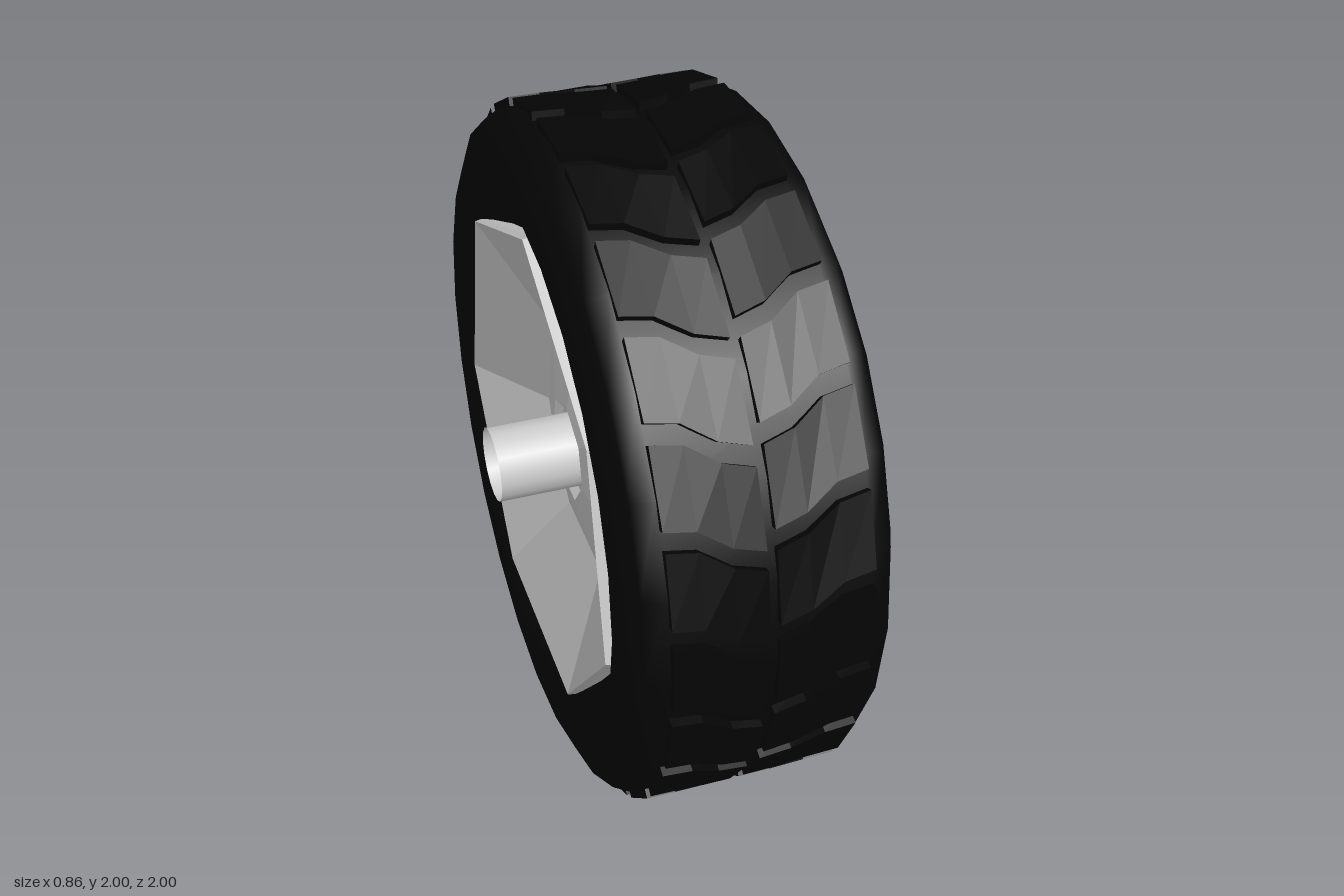
import * as THREE from 'three';
import { mergeGeometries } from 'three/addons/utils/BufferGeometryUtils.js';

const SIDES = 7;        // spokes and rim facets
const BLOCKS = 24;      // tread blocks per row
const MID = 0.035;      // axial centre of the tyre
const STEP = (Math.PI * 2) / SIDES;

const grey = new THREE.MeshStandardMaterial({ color: 0xcccccc, flatShading: true });
const tube = new THREE.MeshStandardMaterial({ color: 0xcccccc, side: THREE.DoubleSide });
const rubber = new THREE.MeshStandardMaterial({ color: 0x050505 });
const tread = new THREE.MeshStandardMaterial({ color: 0x050505, flatShading: true });

// Move every vertex of a geometry by a rule
function warp(geo, rule) {
  const p = geo.attributes.position;
  const v = new THREE.Vector3();
  for (let i = 0; i < p.count; i++) {
    rule(v.fromBufferAttribute(p, i));
    p.setXYZ(i, v.x, v.y, v.z);
  }
  geo.computeVertexNormals();
  return geo;
}

// Revolve [radius, x] points around the x axis, first corner at the top
function revolve(points, sides, rule) {
  const profile = points.map(([r, x]) => new THREE.Vector2(r, x));
  const geo = new THREE.LatheGeometry(profile, sides, -Math.PI / 2);
  if (rule) warp(geo, rule);
  return geo.rotateZ(-Math.PI / 2);
}

// Raised tread block, stepped into half a chevron and wrapped round the tyre
function treadBlock(x0, x1, angle) {
  return warp(new THREE.BoxGeometry(1, 1, 1, 3, 1, 1), (v) => {
    const x = THREE.MathUtils.lerp(x0, x1, v.x + 0.5);
    const d = Math.abs(x - MID);
    const bend = d < 0.05 ? -0.07 : d < 0.13 ? -0.045 : d < 0.2 ? 0.015 : 0.03;
    const a = angle + bend - v.z * ((Math.PI * 2) / BLOCKS) * 0.8;
    const r = v.y > 0 ? 1 : 0.95;
    v.set(x, r * Math.sin(a), r * Math.cos(a));
  });
}

// Wedge-sided spoke pointing up, with a kinked top
function spokeGeometry() {
  const shape = new THREE.Shape(
    [[0.22, 0.27], [0.3, 0.27], [0.425, 0.63], [0.39, 0.755], [0.29, 0.735]]
      .map(([x, y]) => new THREE.Vector2(x, y)));
  const geo = new THREE.ExtrudeGeometry(shape, { depth: 1, bevelEnabled: false });
  return warp(geo, (v) => {
    const half = v.x < 0.295 ? 0.095 : v.y < 0.4 ? 0.068 : 0.075;
    v.z = (v.z - 0.5) * 2 * half;
  });
}

export function createModel() {
  const wheel = new THREE.Group();
  wheel.name = 'wheel';
  const add = (name, geo, mat, parent = wheel) => {
    const mesh = new THREE.Mesh(geo, mat);
    mesh.name = name;
    parent.add(mesh);
    return mesh;
  };

  // Tyre carcass with dished sidewalls
  add('tyre', revolve([
    [0.6, -0.23], [0.7, -0.28], [0.78, -0.32], [0.86, -0.33], [0.95, -0.29], [0.982, -0.23],
    [0.982, 0.3], [0.95, 0.36], [0.86, 0.4], [0.79, 0.39], [0.72, 0.345], [0.6, 0.27],
  ], 24), rubber);

  // Two rows of tread blocks, one row staggered slightly
  const blocks = [];
  for (let i = 0; i < BLOCKS; i++) {
    const a = (i / BLOCKS) * Math.PI * 2;
    blocks.push(treadBlock(-0.23, 0.022, a), treadBlock(0.048, 0.3, a + 0.05));
  }
  add('tread', mergeGeometries(blocks), tread);

  // Seven-sided rim: back dish, chamfered rim edge, front bowl, hub cone and centre recess
  const up = new THREE.Vector3(0, 1, 0);
  add('rim', revolve([
    [0, -0.19], [0.125, -0.19], [0.15, -0.21], [0.37, -0.165], [0.72, -0.315], [0.725, -0.29],
    [0.725, 0.315], [0.685, 0.37], [0.33, 0.28],
    [0.16, 0.315], [0.13, 0.285], [0, 0.285],
  ], SIDES, (v) => {
    // Turn the centre half a facet against the hub
    if (v.y > 0 && Math.hypot(v.x, v.z) < 0.2) v.applyAxisAngle(up, STEP / 2);
  }), grey);

  // Spokes
  const spokes = new THREE.Group();
  spokes.name = 'spokes';
  wheel.add(spokes);
  const spoke = spokeGeometry();
  for (let i = 0; i < SIDES; i++) {
    add('spoke', spoke, grey, spokes).rotation.x = i * STEP;
  }

  // Hollow axle stub on the inner side
  const axle = new THREE.CylinderGeometry(0.107, 0.107, 0.25, 16, 1, true);
  add('axle', axle.rotateZ(Math.PI / 2).translate(-0.305, 0, 0), tube);

  wheel.position.y = 1;
  const model = new THREE.Group();
  model.name = 'wheelModel';
  model.add(wheel);
  return model;
}
